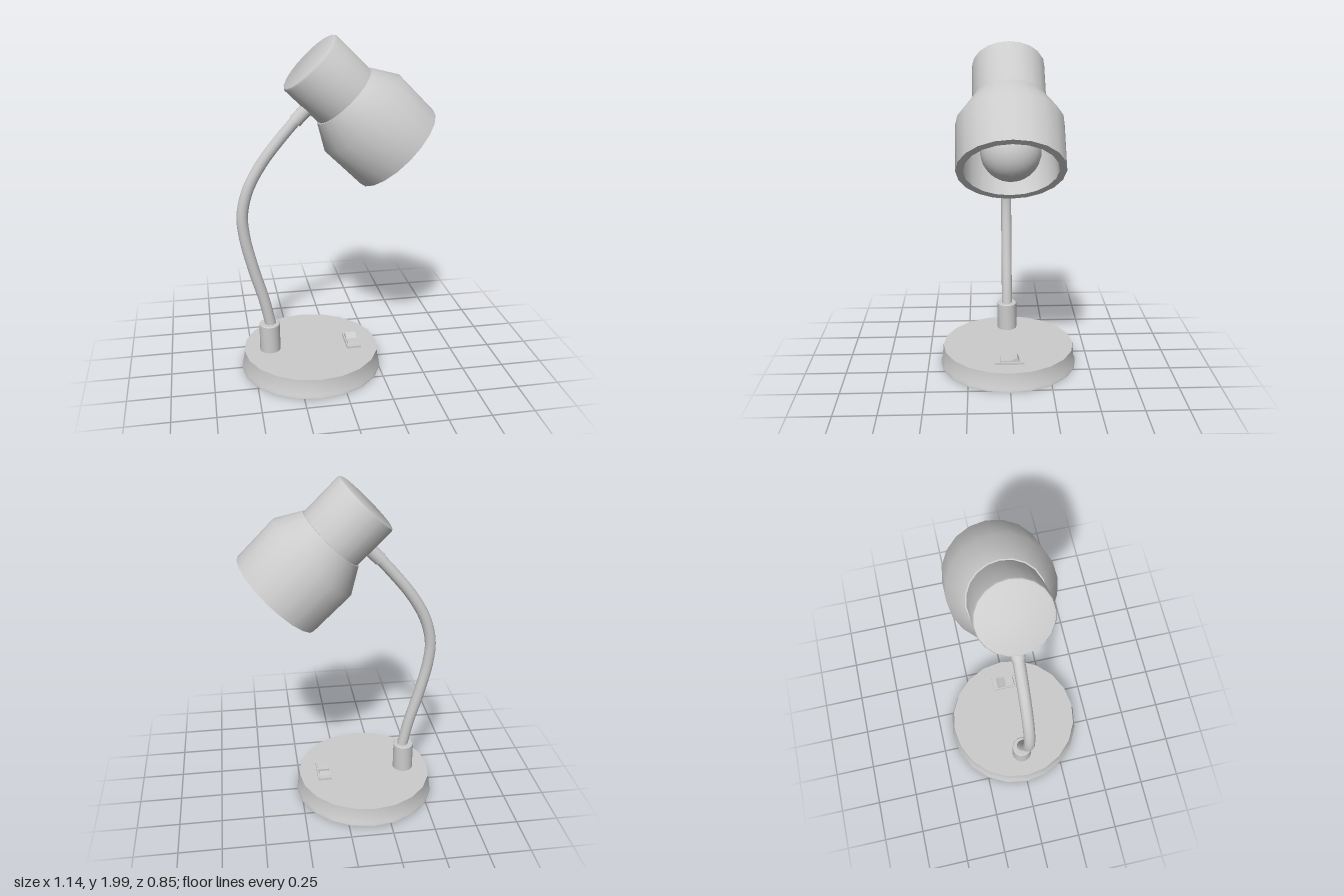
import * as THREE from 'three';
import { toCreasedNormals } from 'three/addons/utils/BufferGeometryUtils.js';

const material = new THREE.MeshStandardMaterial({ color: 0xcccccc });

function part(name, geometry, x = 0, y = 0, z = 0) {
  const mesh = new THREE.Mesh(geometry, material);
  mesh.name = name;
  mesh.position.set(x, y, z);
  return mesh;
}

// Turned part from [radius, height] pairs, listed bottom to top on the outside
function turned(profile, segments = 20) {
  const points = profile.map(([r, y]) => new THREE.Vector2(r, y));
  return toCreasedNormals(new THREE.LatheGeometry(points, segments), 0.62);
}

// Outline in the z-y plane, extruded along x and centred
function sideExtrude(outline, width) {
  const shape = new THREE.Shape(outline.map(([z, y]) => new THREE.Vector2(-z, y)));
  return new THREE.ExtrudeGeometry(shape, { depth: width, bevelEnabled: false })
    .translate(0, 0, -width / 2)
    .rotateY(Math.PI / 2);
}

export function createModel() {
  const lamp = new THREE.Group();
  lamp.name = 'deskLamp';

  // Round foot with a small flare at the floor
  lamp.add(part('base', turned([
    [0, 0], [0.425, 0], [0.425, 0.006], [0.415, 0.022], [0.407, 0.115], [0, 0.115],
  ]), -0.15));

  // Rocker switch on its plate
  const toggle = new THREE.Group();
  toggle.name = 'switch';
  toggle.position.set(0.105, 0.115, 0);
  toggle.add(part('switchPlate', new THREE.BoxGeometry(0.085, 0.014, 0.175), 0, 0.006));
  toggle.add(part('switchRocker', sideExtrude([
    [0.06, 0.01], [0.055, 0.021], [0, 0.019], [-0.045, 0.04], [-0.06, 0.01],
  ], 0.065)));
  lamp.add(toggle);

  // Socket holding the curved arm
  lamp.add(part('armSocket', turned([
    [0, 0.11], [0.062, 0.11], [0.062, 0.285], [0.057, 0.29], [0, 0.29],
  ], 16), -0.4));
  const path = new THREE.CatmullRomCurve3([
    [-0.385, 0.24], [-0.426, 0.44], [-0.484, 0.65], [-0.53, 0.86], [-0.537, 0.995],
    [-0.5, 1.143], [-0.415, 1.296], [-0.31, 1.43], [-0.2, 1.555],
  ].map(([x, y]) => new THREE.Vector3(x, y, 0)));
  lamp.add(part('arm', new THREE.TubeGeometry(path, 40, 0.033, 12)));

  // Head, tilted so its mouth points down and to the left
  const head = new THREE.Group();
  head.name = 'head';
  head.position.set(-0.145, 1.855, 0);
  head.rotation.z = Math.PI / 4;

  // Shade: up the inside first, then lip and outer wall
  head.add(part('shade', turned([
    [0, -0.3], [0.17, -0.3], [0.255, -0.44], [0.255, -0.712],
    [0.295, -0.712], [0.298, -0.42], [0.212, -0.275], [0, -0.275],
  ])));
  head.add(part('neck', turned([
    [0, -0.29], [0.205, -0.29], [0.205, -0.016], [0.2, -0.005], [0.19, 0], [0, 0],
  ])));
  head.add(part('bulb', new THREE.SphereGeometry(0.165, 24, 16), 0, -0.587));
  head.add(part('bulbHolder', new THREE.CylinderGeometry(0.075, 0.085, 0.2, 16), 0, -0.38));

  // Collar joining the arm to the neck
  const collar = part('collar', new THREE.CylinderGeometry(0.039, 0.039, 0.13, 16), -0.225, -0.176);
  collar.rotation.z = Math.PI / 2;
  head.add(collar);
  lamp.add(head);

  return lamp;
}
